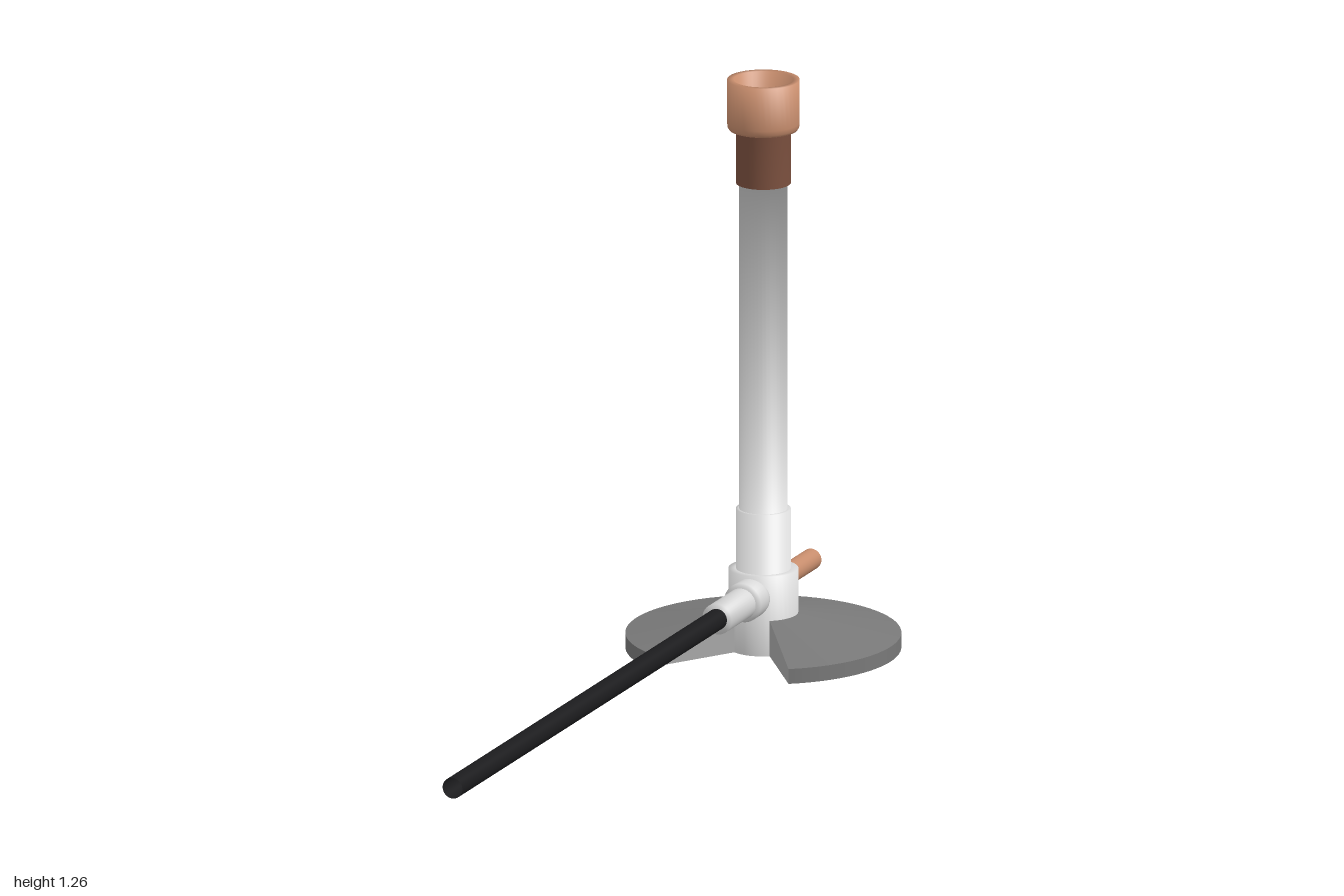
import * as THREE from 'three';

const AXIS_Z = -0.704; // burner axis
const PIPE_Y = 0.128;  // height of the gas line

const mat = (name, color) => {
  const m = new THREE.MeshStandardMaterial({ color, side: THREE.DoubleSide });
  m.name = name;
  return m;
};

const vectors = (points) => points.map(([r, y]) => new THREE.Vector2(r, y));

// Turned part from [radius, height] points
const turned = (points, segments = 40, start = 0, length = Math.PI * 2) =>
  new THREE.LatheGeometry(vectors(points), segments, start, length);

// Turned part whose ledges are blended evenly into its walls
function softTurned(points, segments = 40) {
  const geometry = turned(points, segments);
  const profile = vectors(points);
  const edges = profile.slice(1).map((p, j) =>
    new THREE.Vector2(p.y - profile[j].y, profile[j].x - p.x).normalize());
  const { normal } = geometry.attributes;
  for (let i = 0; i < normal.count; i++) {
    const j = i % points.length;
    const angle = Math.floor(i / points.length) / segments * Math.PI * 2;
    const n = edges[Math.max(j - 1, 0)].clone().add(edges[Math.min(j, edges.length - 1)]).normalize();
    normal.setXYZ(i, n.x * Math.sin(angle), n.y, n.x * Math.cos(angle));
  }
  return geometry;
}

export function createModel() {
  const steel = mat('light steel', 0xd8d8d8);
  const iron = mat('grey iron', 0x787878);
  const paleIron = mat('pale iron', 0xa8a8a8);
  const copper = mat('copper', 0xc68c6c);
  const brown = mat('dark copper', 0x7e5240);
  const rubber = mat('black rubber', 0x1b1b1d);

  const model = new THREE.Group();
  model.name = 'gasBurner';

  const add = (name, geometry, material, parent = model) => {
    const mesh = new THREE.Mesh(geometry, material);
    mesh.name = name;
    parent.add(mesh);
    return mesh;
  };

  const burner = new THREE.Group();
  burner.name = 'burner';
  burner.position.z = AXIS_Z;
  model.add(burner);

  // Hollow conical foot with a wedge left open at the front, walled at both cuts
  const foot = [[0.296, 0], [0.296, 0.033], [0.074, 0.079]];
  const notch = THREE.MathUtils.degToRad(33.5);
  const arc = Math.PI * 2 - 2 * notch;
  add('footRim', turned(foot.slice(0, 2), 64, notch, arc), iron, burner);
  add('footTop', turned(foot.slice(1), 64, notch, arc), iron, burner);
  add('footUnderside', turned([[0.074, 0.075], [0.293, 0.029]], 64, notch, arc), paleIron, burner);
  const wall = new THREE.Shape(vectors([[0.074, 0], ...foot]));
  for (const angle of [notch, -notch]) {
    const cut = add('footCutWall', new THREE.ShapeGeometry(wall), paleIron, burner);
    cut.rotation.y = angle - Math.PI / 2;
  }

  // Upright parts, stacked on the axis and joined by their ledges
  add('body', softTurned([[0.075, 0], [0.075, 0.177], [0.059, 0.177]]), steel, burner);
  add('airCollar', softTurned([[0.075, 0.177], [0.059, 0.177], [0.059, 0.31], [0.052, 0.31]]), steel, burner);
  add('barrel', softTurned([[0.059, 0.31], [0.052, 0.31], [0.052, 1.035], [0.059, 1.035]]), steel, burner);
  add('sleeve', turned([[0.052, 1.035], [0.059, 1.035], [0.059, 1.155], [0.074, 1.155]]), brown, burner);
  add('flameCup', softTurned([[0.059, 1.155], [0.073, 1.155], [0.077, 1.16], [0.078, 1.17], [0.078, 1.265],
    [0.064, 1.265], [0.06, 1.18], [0.055, 1.175], [0, 1.175]]), copper, burner);

  // Parts along the gas line, profiled as [radius, z] points from back to front
  const line = (name, geometry, material) => {
    const mesh = add(name, geometry, material);
    mesh.rotation.x = Math.PI / 2;
    mesh.position.y = PIPE_Y;
  };
  line('hoseFlange', softTurned([[0, -0.66], [0.04, -0.66], [0.043, -0.63], [0.043, -0.59],
    [0.037, -0.582], [0, -0.582]]), steel);
  line('gasInlet', turned([[0, -0.69], [0.027, -0.69], [0.027, -0.6]]), steel);
  line('hoseConnector', softTurned([[0.034, -0.6], [0.034, -0.45], [0, -0.45]]), steel);
  line('hose', turned([[0.023, -0.45], [0.023, 1]]), rubber); // open tube
  line('valveSeat', softTurned([[0, -0.803], [0.025, -0.803], [0.027, -0.798], [0.027, -0.76]]), steel);
  line('valveHandle', turned([[0, -0.972], [0.021, -0.972], [0.023, -0.968], [0.023, -0.832],
    [0.014, -0.82], [0.014, -0.8]]), copper);

  return model;
}
